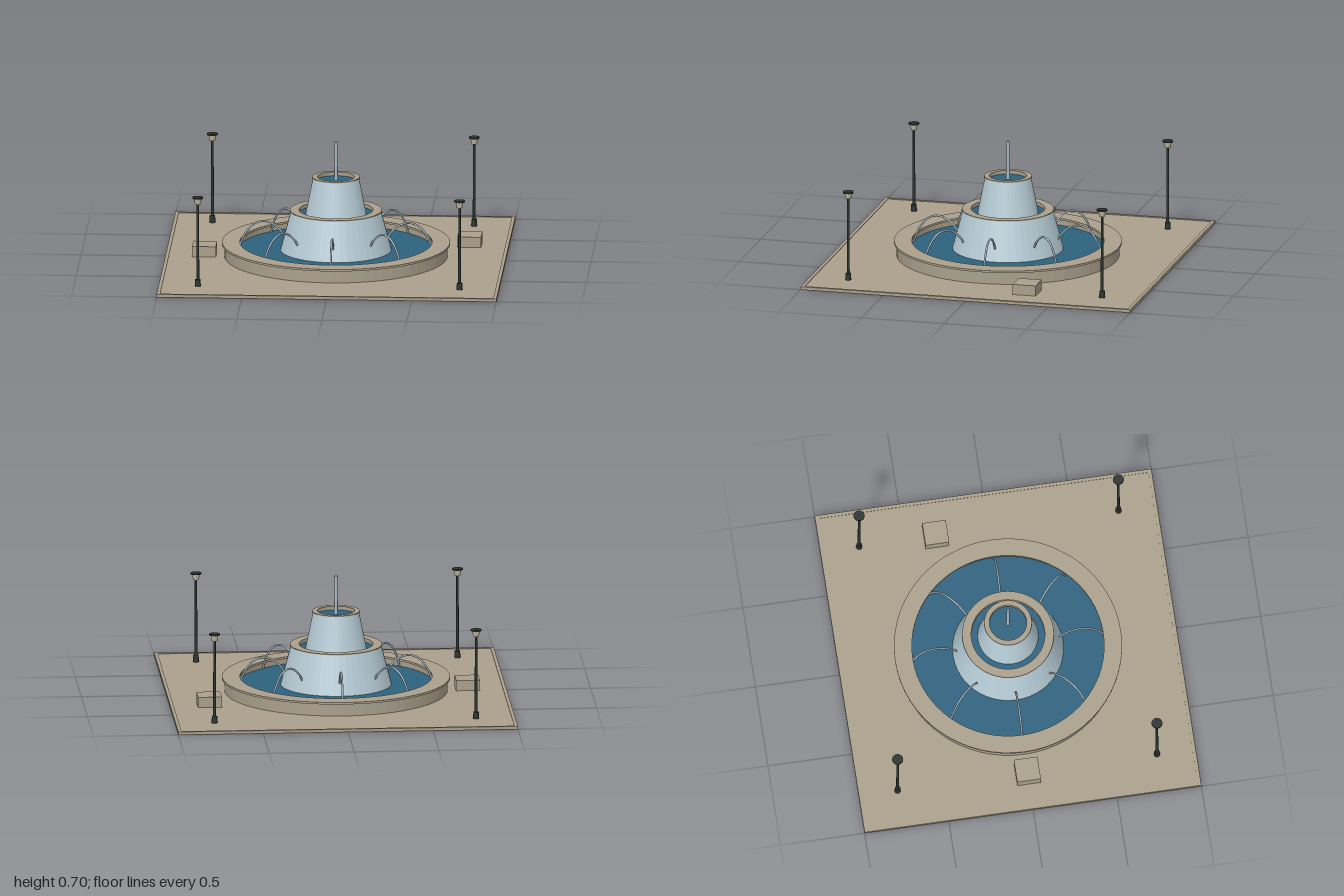
import * as THREE from 'three';

const mat = (name, color, extra = {}) =>
  Object.assign(new THREE.MeshStandardMaterial({ color, ...extra }), { name });

export function createModel() {
  const stone = mat('stone', 0xaaa08c);
  const stoneFaceted = stone;
  const tierStone = mat('paleBlueStone', 0xb6ccd6);
  const water = mat('water', 0x2c627e);
  const jetWater = mat('jetWater', 0xa9b9c2);
  const iron = mat('iron', 0x2a322e);
  const lampGlass = mat('lampGlass', 0xc0b59d);

  const group = new THREE.Group();
  group.name = 'plazaFountain';
  const add = (name, geo, material, x = 0, y = 0, z = 0, parent = group) => {
    const mesh = new THREE.Mesh(geo, material);
    mesh.name = name;
    mesh.position.set(x, y, z);
    parent.add(mesh);
    return mesh;
  };
  const cyl = (rTop, rBottom, h, seg = 24, open = false) =>
    new THREE.CylinderGeometry(rTop, rBottom, h, seg, 1, open);
  // closed ring of revolution with crisp faceted edges
  const ring = (points, seg) => {
    const geo = new THREE.LatheGeometry(points.map(p => new THREE.Vector2(...p)), seg).toNonIndexed();
    geo.computeVertexNormals();
    return geo;
  };
  const disc = (r, seg) => new THREE.CircleGeometry(r, seg).rotateX(-Math.PI / 2);

  // paving with a low kerb around it
  add('paving', new THREE.BoxGeometry(1.97, 0.015, 1.97), stone, 0, 0.0075);
  for (const s of [-1, 1]) {
    add('kerb', new THREE.BoxGeometry(2, 0.018, 0.02), stone, 0, 0.009, s * 0.99);
    add('kerb', new THREE.BoxGeometry(0.02, 0.018, 1.96), stone, s * 0.99, 0.009, 0);
  }

  // basin: wall, overhanging coping and water
  add('basinWall', ring([[0.655, 0.015], [0.655, 0.09], [0.575, 0.09], [0.575, 0.015]], 64), stoneFaceted);
  add('basinCoping', ring([[0.565, 0.088], [0.67, 0.088], [0.67, 0.1], [0.565, 0.1], [0.565, 0.088]], 64), stone);
  add('basinWater', disc(0.576, 64), water, 0, 0.055);

  // stacked tiers: tapered body, rim and pool
  const tier = (name, y0, y1, r0, r1, rIn) => {
    const t = new THREE.Group();
    t.name = name;
    group.add(t);
    add('tierBody', ring([[r0, y0], [r1, y1 - 0.006]], 48), tierStone, 0, 0, 0, t);
    const b = y1 - 0.006, R = r1 + 0.005;
    add('tierRim', ring([[rIn, y1 - 0.03], [r1 - 0.01, b], [R, b], [R, y1], [rIn, y1], [rIn, y1 - 0.03]], 48), stone, 0, 0, 0, t);
    add('tierWater', disc(rIn + 0.002, 48), water, 0, y1 - 0.022, 0, t);
  };
  tier('lowerTier', 0.045, 0.295, 0.329, 0.265, 0.217);
  tier('upperTier', 0.27, 0.495, 0.179, 0.135, 0.11);

  // central spout
  add('centreJet', cyl(0.009, 0.011, 0.235, 12), jetWater, 0, 0.5875);

  // eight arching jets from the lower tier to the basin
  const arc = new THREE.CatmullRomCurve3([
    [0.3, 0.125], [0.33, 0.168], [0.38, 0.208], [0.43, 0.22],
    [0.485, 0.202], [0.53, 0.15], [0.555, 0.1], [0.568, 0.055],
  ].map(([x, y]) => new THREE.Vector3(x, y, 0)));
  const arcGeo = new THREE.TubeGeometry(arc, 28, 0.006, 8);
  for (let i = 0; i < 8; i++) {
    add('archingJet', arcGeo, jetWater).rotation.y = i * Math.PI / 4;
  }

  // corner lamps
  for (const x of [-0.77, 0.77]) for (const z of [-0.77, 0.77]) {
    const lamp = new THREE.Group();
    lamp.name = 'lampPost';
    lamp.position.set(x, 0, z);
    group.add(lamp);
    add('lampFoot', cyl(0.016, 0.018, 0.043, 16), iron, 0, 0.0335, 0, lamp);
    add('lampPole', cyl(0.007, 0.009, 0.46, 12), iron, 0, 0.285, 0, lamp);
    add('lampHead', cyl(0.023, 0.017, 0.035, 16), lampGlass, 0, 0.528, 0, lamp);
    add('lampCap', cyl(0.032, 0.032, 0.008, 20), iron, 0, 0.549, 0, lamp);
  }

  // stone seats
  for (const [x, z] of [[-0.773, 0], [0.77, -0.315]]) {
    add('seatBlock', new THREE.BoxGeometry(0.14, 0.062, 0.14), stone, x, 0.046, z);
  }
  return group;
}
